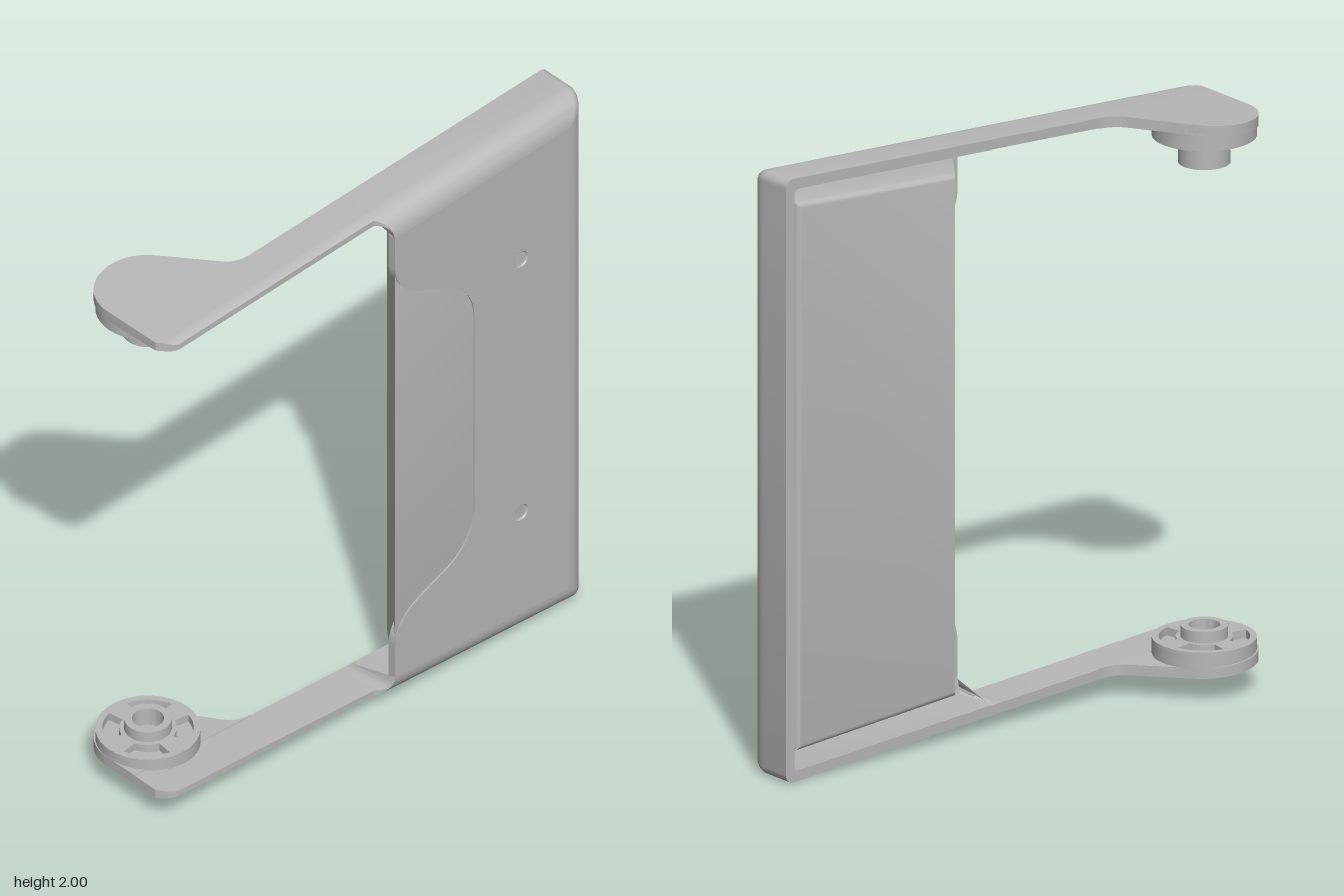
import * as THREE from 'three';
import { toCreasedNormals } from 'three/addons/utils/BufferGeometryUtils.js';

const FRONT = 0.235, BACK = 0.04, R = 0.085, LEFT = 0.05, RIGHT = 0.885;
const KX = -0.725, KZ = -0.07; // pivot axis

// half height of the slanted outline, measured from mid height
const half = (x) => 0.95 + 0.0566 * x;

// skin a list of equally long rows of [x, y, z]
function loft(rows) {
  const pos = [];
  for (let i = 0; i < rows.length - 1; i++) {
    for (let j = 0; j < rows[i].length - 1; j++) {
      const a = rows[i][j], b = rows[i][j + 1], c = rows[i + 1][j], d = rows[i + 1][j + 1];
      pos.push(...a, ...b, ...c, ...b, ...d, ...c);
    }
  }
  const g = new THREE.BufferGeometry();
  g.setAttribute('position', new THREE.Float32BufferAttribute(pos, 3));
  return g;
}

function warp(g, rule) {
  const p = g.attributes.position;
  for (let i = 0; i < p.count; i++) p.setXYZ(i, ...rule(p.getX(i), p.getY(i), p.getZ(i)));
  return g;
}

// reflect top to bottom, keeping faces outward
function mirrorY(g) {
  const m = g.index ? g.toNonIndexed() : g.clone();
  const p = m.attributes.position;
  for (let i = 0; i < p.count; i += 3) {
    const v = [0, 2, 1].map((k) => [p.getX(i + k), -p.getY(i + k), p.getZ(i + k)]);
    v.forEach((q, k) => p.setXYZ(i + k, ...q));
  }
  return m;
}

function circlePath(x, y, r) {
  return new THREE.Path().absarc(x, y, r, 0, Math.PI * 2, true);
}

const extrude = (shape, depth) =>
  new THREE.ExtrudeGeometry(shape, { depth, bevelEnabled: false, curveSegments: 20 });

// rounded outer wall, inner rim wall and groove floor, following three sides
function shellGeometry() {
  const sections = [[0, BACK]];
  for (let i = 0; i <= 10; i++) {
    const t = (i / 10) * Math.PI / 2;
    sections.push([R * (1 - Math.cos(t)), FRONT - R + R * Math.sin(t)]);
  }
  sections.push([R, 0.205], [0.035, 0.195], [0.035, BACK], [0, BACK]);
  return loft(sections.map(([d, z]) => {
    const r = Math.max(0.03 - d * 0.35, 0.003);
    const cx = RIGHT - d - r, cy = half(cx) - d - r;
    const top = [];
    for (let k = 0; k <= 5; k++) {
      const t = (k / 5) * Math.PI / 2;
      top.push([cx + r * Math.cos(t), cy + r * Math.sin(t), z]);
    }
    top.push([LEFT, half(LEFT) - d, z]);
    return [...top.map(([x, y]) => [x, -y, z]).reverse(), ...top];
  }));
}

// flat front with the curved bay and two screw holes
function frontGeometry() {
  const s = new THREE.Shape();
  const yl = half(LEFT) - R, yr = half(RIGHT - R) - R;
  s.moveTo(LEFT, -yl);
  s.lineTo(RIGHT - R, -yr);
  s.lineTo(RIGHT - R, yr);
  s.lineTo(LEFT, yl);
  s.lineTo(LEFT, 0.75);
  s.bezierCurveTo(0.05, 0.67, 0.11, 0.62, 0.18, 0.595);
  s.lineTo(0.26, 0.56);
  s.bezierCurveTo(0.34, 0.53, 0.39, 0.46, 0.39, 0.38);
  s.lineTo(0.39, -0.38);
  s.bezierCurveTo(0.39, -0.46, 0.34, -0.53, 0.26, -0.56);
  s.lineTo(0.18, -0.595);
  s.bezierCurveTo(0.11, -0.62, 0.05, -0.67, 0.05, -0.75);
  s.closePath();
  for (const y of [-0.5, 0.5]) s.holes.push(circlePath(0.59, y, 0.03));
  return extrude(s, 0.03).translate(0, 0, FRONT - 0.03);
}

// inner block, its open side slanting towards the back
function blockGeometry() {
  const b = 0.02, m = 0.09 + b;
  const s = new THREE.Shape();
  s.moveTo(0.1, -half(0.1) + m);
  s.lineTo(0.83 - b, -half(0.81) + m);
  s.lineTo(0.83 - b, half(0.81) - m);
  s.lineTo(0.1, half(0.1) - m);
  const g = new THREE.ExtrudeGeometry(s, {
    depth: 0.178 - 2 * b, bevelThickness: b, bevelSize: b, bevelSegments: 4,
  }).translate(0, 0, 0.052 + b);
  return warp(g, (x, y, z) => [x < 0.3 ? LEFT + (FRONT - z) * 0.75 : x, y, z]);
}

// thin arm whose front edge swells into the panel
function armGeometry() {
  const xs = [-0.89, -0.88, -0.865, -0.85, -0.835, -0.4, 0, 0.012, 0.025, 0.037, 0.045, LEFT];
  const rows = xs.map((x) => {
    const u = Math.max(0, x / LEFT), e = Math.min(1, Math.max(0, (x + 0.89) / 0.055));
    const zMax = x < 0 ? 0.14 + 0.05 * Math.sin(e * Math.PI / 2) : 0.19 + (FRONT - 0.19) * u;
    const thick = 0.03 + 0.055 * (1 - Math.sqrt(Math.max(0, 1 - u * u)));
    const z0 = Math.min(FRONT - R, zMax), y = half(x);
    const tMax = Math.asin(Math.min(1, (zMax - z0) / R));
    const row = [[x, y, BACK]];
    for (let k = 0; k <= 8; k++) {
      const t = tMax * k / 8;
      row.push([x, y - R * (1 - Math.cos(t)), z0 + R * Math.sin(t)]);
    }
    row.push([x, y - thick - 0.001, zMax], [x, y - 0.033, BACK], [x, y, BACK]);
    return row;
  });
  const end = rows[0].map(() => [-0.89, half(-0.89) - 0.015, 0.09]);
  return loft([end, ...rows]);
}

// teardrop plate behind the arm's end
function paddleGeometry(withHole) {
  const s = new THREE.Shape();
  s.moveTo(-0.89, 0.045);
  s.lineTo(-0.89, -0.08);
  s.absarc(-0.73, -0.08, 0.16, Math.PI, Math.PI * 2 - 0.625, false);
  s.lineTo(-0.475, 0);
  s.quadraticCurveTo(-0.445, 0.04, -0.39, 0.04);
  s.lineTo(-0.39, 0.045);
  s.closePath();
  if (withHole) s.holes.push(circlePath(KX, KZ, 0.035));
  return warp(extrude(s, 0.035), (x, z, c) => [x, half(x) - c, z]);
}

// round layer on the lower pivot, between two heights
function pivotLayer(radius, bore, y0, y1, slots) {
  const s = new THREE.Shape().absarc(0, 0, radius, 0, Math.PI * 2, false);
  s.holes.push(circlePath(0, 0, bore));
  for (let k = 0; slots && k < 4; k++) {
    const a = k * Math.PI / 2 + Math.PI / 4;
    const h = new THREE.Path();
    h.absarc(0, 0, 0.143, a - 0.52, a + 0.52, false);
    h.absarc(0, 0, 0.09, a + 0.45, a - 0.45, true);
    h.closePath();
    s.holes.push(h);
  }
  return extrude(s, y1 - y0).rotateX(-Math.PI / 2).translate(KX, y0 - 1, KZ);
}

const cylinder = (r, y0, y1) =>
  new THREE.CylinderGeometry(r, r, y1 - y0, 40).translate(KX, (y0 + y1) / 2 - 1, KZ);

export function createModel() {
  const model = new THREE.Group();
  model.name = 'hingedPanel';
  const body = new THREE.Group();
  body.name = 'panelBody';
  body.position.y = 1;
  model.add(body);
  const grey = new THREE.MeshStandardMaterial({ color: 0xb8b8b8, side: THREE.DoubleSide });
  grey.name = 'grey';
  const add = (name, g) => {
    const mesh = new THREE.Mesh(toCreasedNormals(g, 0.6), grey);
    mesh.name = name;
    body.add(mesh);
  };

  add('panelShell', shellGeometry());
  add('panelFront', frontGeometry());
  add('innerBlock', blockGeometry());

  // countersunk screw holes
  const sink = [[0.03, 0], [0.027, -0.004], [0.016, -0.006], [0.014, -0.025], [0, -0.025]];
  for (const y of [0.5, -0.5]) {
    const g = new THREE.LatheGeometry(sink.map((p) => new THREE.Vector2(...p)), 24);
    add('screwHole', g.rotateX(Math.PI / 2).translate(0.59, y, FRONT));
  }

  // arms
  add('upperArm', armGeometry());
  add('lowerArm', mirrorY(armGeometry()));
  add('upperPaddle', paddleGeometry(false));
  add('lowerPaddle', mirrorY(paddleGeometry(true)));

  // upper pivot: disc and solid pin
  add('upperDisc', cylinder(0.165, 1.83, 1.885));
  add('upperPin', cylinder(0.082, 1.74, 1.835));

  // lower pivot: slotted disc and hollow hub
  add('lowerDisc', pivotLayer(0.165, 0.035, 0.112, 0.145, false));
  add('lowerSlottedDisc', pivotLayer(0.165, 0.05, 0.145, 0.172, true));
  add('lowerHub', pivotLayer(0.075, 0.05, 0.145, 0.21, false));
  return model;
}
